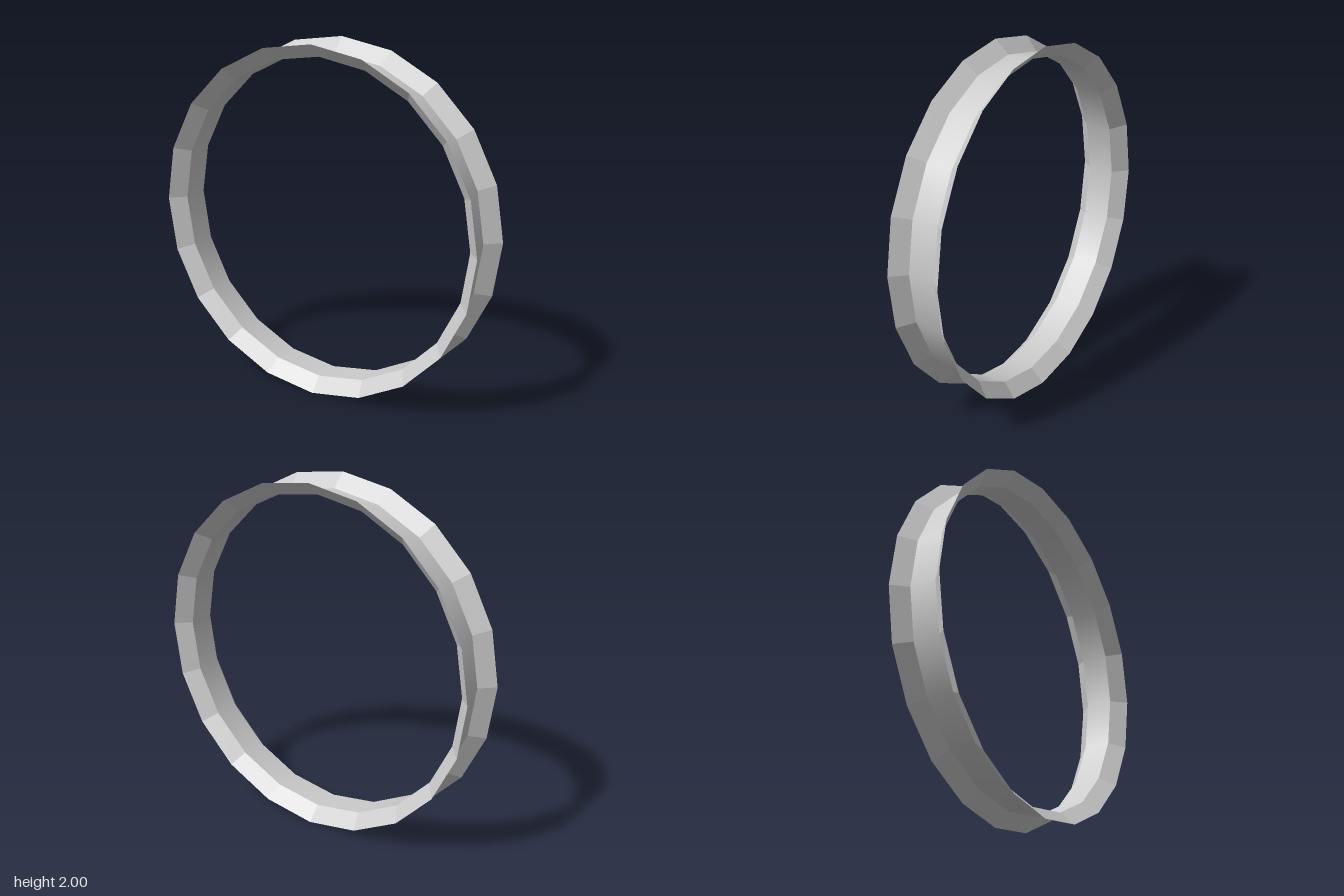
import * as THREE from 'three';

const SIDES = 20;
const OUTER = 1, INNER = 0.923;      // rim and band radii
const BAND = 0.077, EDGE = 0.154;    // half widths along z

// Open ring section from z0 (radius r0) to z1 (radius r1)
function ring(name, r0, z0, r1, z1, flatShading) {
  const geometry = new THREE.CylinderGeometry(r1, r0, z1 - z0, SIDES, 1, true);
  geometry.rotateX(Math.PI / 2);
  geometry.translate(0, 1, (z0 + z1) / 2);
  const material = new THREE.MeshStandardMaterial({
    color: 0xcccccc, flatShading, side: THREE.DoubleSide,
  });
  const mesh = new THREE.Mesh(geometry, material);
  mesh.name = name;
  return mesh;
}

export function createModel() {
  const group = new THREE.Group();
  group.name = 'flangedRing';
  // Smooth central band with a faceted, flared flange on each side
  group.add(
    ring('band', INNER, -BAND, INNER, BAND, false),
    ring('frontFlange', INNER, BAND, OUTER, EDGE, true),
    ring('backFlange', OUTER, -EDGE, INNER, -BAND, true),
  );
  return group;
}
